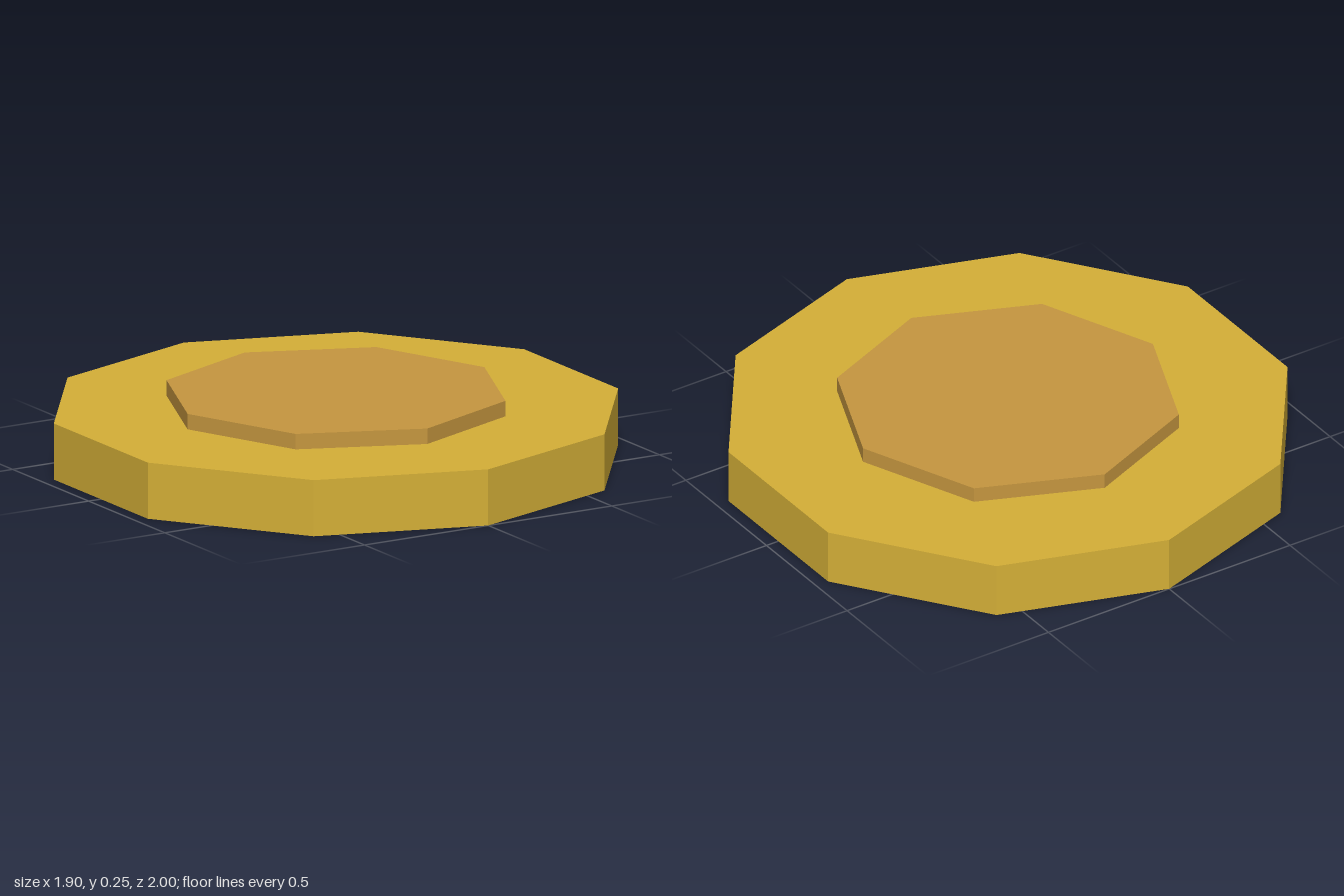
import * as THREE from 'three';

// Flat-sided disc standing on height y, with a corner facing the front
function disc(name, radius, y, height, sides, material) {
  const mesh = new THREE.Mesh(new THREE.CylinderGeometry(radius, radius, height, sides), material);
  mesh.name = name;
  mesh.position.y = y + height / 2;
  return mesh;
}

export function createModel() {
  const gold = new THREE.MeshStandardMaterial({ color: 0xd4af37 });
  gold.name = 'gold';
  gold.flatShading = true;
  const bronze = new THREE.MeshStandardMaterial({ color: 0xc5963f });
  bronze.name = 'bronze';
  bronze.flatShading = true;

  const model = new THREE.Group();
  model.name = 'coin';
  // Ten-sided body with a thin eight-sided raised centre
  model.add(disc('body', 1, 0, 0.2, 10, gold));
  model.add(disc('raisedCentre', 0.6, 0.2, 0.055, 8, bronze));
  return model;
}
